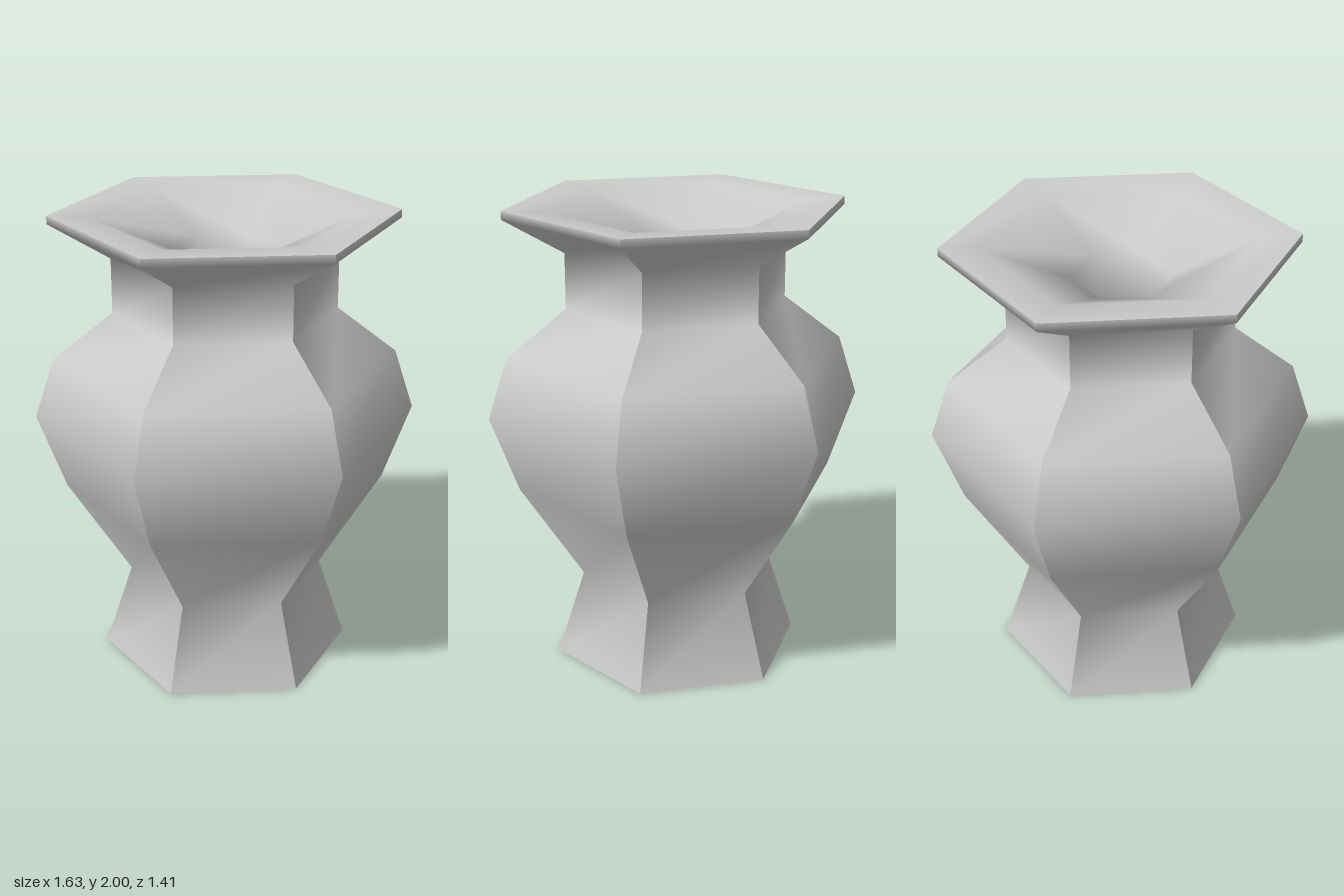
import * as THREE from 'three';

const SIDES = 6;

// outer profile: [corner radius, height], top to bottom
const OUTER = [
  [0.73, 2.0], [0.73, 1.965], [0.475, 1.815], [0.475, 1.58], [0.73, 1.38],
  [0.815, 1.12], [0.695, 0.79], [0.425, 0.37], [0.545, 0],
];

// inner profile: lip, funnel mouth, narrow throat, hollow belly, floor
const INNER = [
  [0.73, 2.0], [0.56, 1.99], [0.21, 1.845], [0.21, 1.52], [0.46, 1.3],
  [0.55, 1.12], [0.45, 0.86], [0.2, 0.42], [0, 0.3],
];

// one side panel: smooth along its height, hard edges to its neighbours
function panel(angle) {
  const geo = new THREE.PlaneGeometry(1, 1, 1, OUTER.length - 1);
  const pos = geo.attributes.position;
  for (let i = 0; i < pos.count; i++) {
    const [r, y] = OUTER[Math.floor(i / 2)];
    const a = angle + (i % 2 ? 1 : -1) * Math.PI / SIDES;
    pos.setXYZ(i, r * Math.sin(a), y, r * Math.cos(a));
  }
  geo.computeVertexNormals();
  return geo;
}

export function createModel() {
  const group = new THREE.Group();
  group.name = 'vase';
  const material = new THREE.MeshStandardMaterial({ color: 0xcccccc });
  const add = (name, geo, parent = group) => {
    const mesh = new THREE.Mesh(geo, material);
    mesh.name = name;
    parent.add(mesh);
    return mesh;
  };

  // outer wall
  const wall = new THREE.Group();
  wall.name = 'outerWall';
  group.add(wall);
  for (let k = 0; k < SIDES; k++) add('sidePanel', panel(k * 2 * Math.PI / SIDES), wall);

  // lip, funnel and hollow inside
  const points = INNER.map(([r, y]) => new THREE.Vector2(r, y));
  add('innerWall', new THREE.LatheGeometry(points, SIDES, Math.PI / 2));

  // flat underside
  add('base', new THREE.CircleGeometry(0.545, SIDES).rotateX(Math.PI / 2));

  return group;
}
